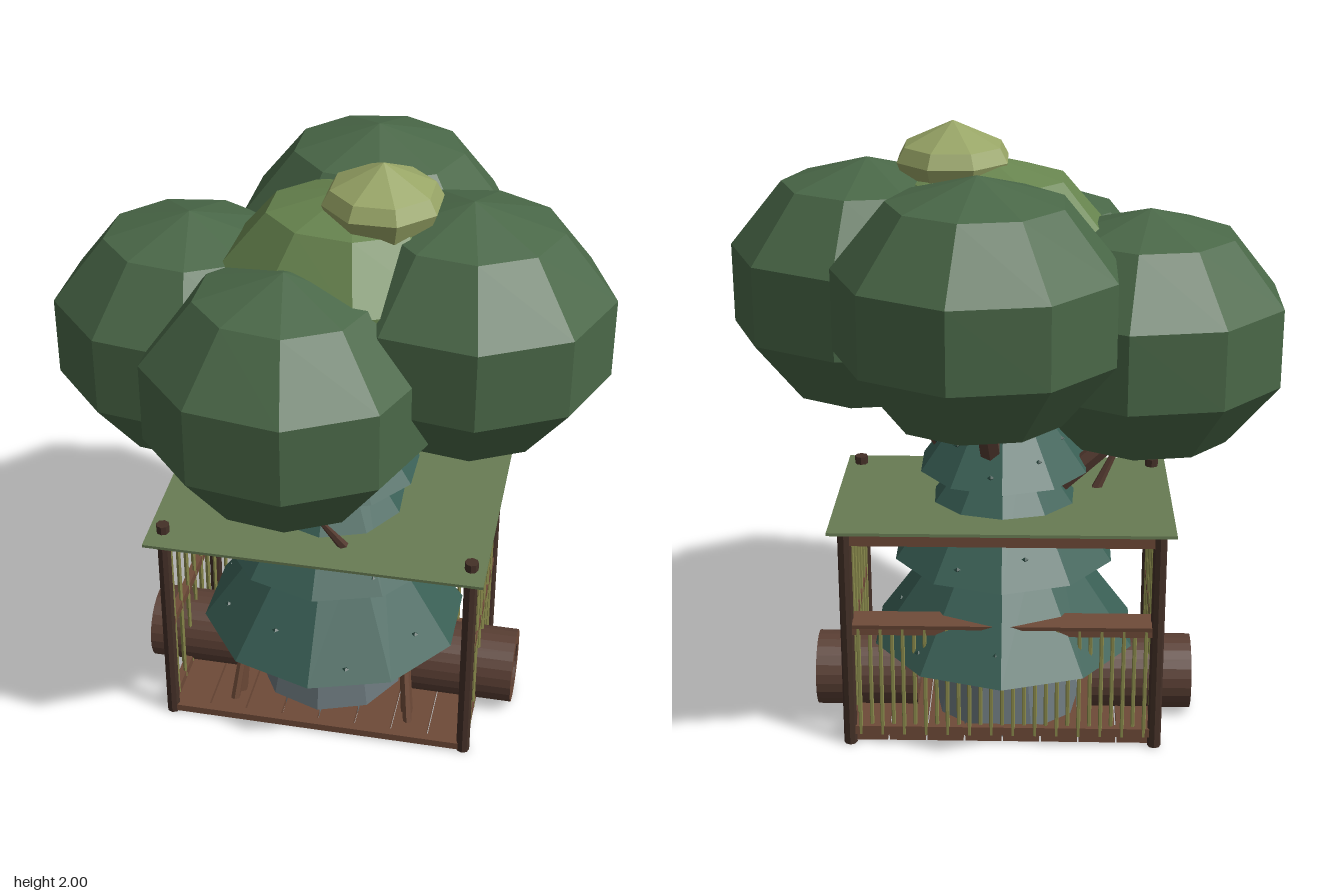
import * as THREE from 'three';

const mat = (color) => new THREE.MeshStandardMaterial({ color, flatShading: true });
const LEAF = mat(0x4a6848), LIGHT = mat(0x68854f), LIME = mat(0x98a566), FIR = mat(0x3a6056);
const ROOF = mat(0x687c54), POST = mat(0x443027), WOOD = mat(0x6e4a38), BARK = mat(0x5a3f34);
const CANE = mat(0x8a8a4c), STONE = mat(0x69757a), DARK = mat(0x2c3740), BUD = mat(0x24423a);

export function createModel() {
  const model = new THREE.Group();

  const add = (name, geometry, material, x = 0, y = 0, z = 0, parent = model) => {
    const mesh = new THREE.Mesh(geometry, material);
    mesh.name = name;
    mesh.position.set(x, y, z);
    parent.add(mesh);
    return mesh;
  };
  const box = (name, w, h, d, m, x, y, z, parent) =>
    add(name, new THREE.BoxGeometry(w, h, d), m, x, y, z, parent);
  // Round pole between two points
  const pole = (name, a, b, r0, r1, m, sides = 6) => {
    const p = new THREE.Vector3(...a), q = new THREE.Vector3(...b);
    const dir = q.clone().sub(p);
    const mesh = add(name, new THREE.CylinderGeometry(r1, r0, dir.length(), sides), m);
    mesh.position.copy(p).add(q).multiplyScalar(0.5);
    mesh.quaternion.setFromUnitVectors(new THREE.Vector3(0, 1, 0), dir.normalize());
    return mesh;
  };

  // Leaf crowns: squashed faceted balls
  const crown = (name, x, y, z, sx, sy, sz, m) => {
    const ball = add(name, new THREE.SphereGeometry(1, 9, 5), m, x, y, z);
    ball.scale.set(sx, sy, sz);
    ball.rotation.y = Math.PI;
  };
  crown('leftCrown', 0.427, 1.48, 0.06, 0.46, 0.41, 0.43, LEAF);
  crown('rightCrown', -0.455, 1.335, 0.005, 0.46, 0.41, 0.43, LEAF);
  crown('frontCrown', -0.085, 1.335, 0.333, 0.46, 0.41, 0.43, LEAF);
  crown('backCrown', 0.07, 1.52, -0.342, 0.46, 0.41, 0.43, LEAF);
  crown('middleCrown', 0.06, 1.53, 0.06, 0.44, 0.37, 0.37, LIGHT);

  // Small pale tuft on top
  const tuft = [[0, 1.68], [0.13, 1.74], [0.185, 1.88], [0.16, 1.925], [0, 2]]
    .map(([r, y]) => new THREE.Vector2(r, y));
  add('topTuft', new THREE.LatheGeometry(tuft, 8, Math.PI / 8), LIME, 0.16, 0, 0.085);

  // Fir tiers with small buds near each hem
  const tiers = [[0.29, 0.445, 0.66, 0.18], [0.59, 0.37, 0.96, 0.1], [0.89, 0.28, 1.22, 0.04]];
  for (const [y0, r0, y1, r1] of tiers) {
    const h = y1 - y0;
    add('firTier', new THREE.CylinderGeometry(r1, r0, h, 10), FIR, 0, y0 + h / 2, 0.01);
    for (let i = 0; i < 9; i++) {
      const a = i * 0.7 + y0, t = 0.13 + 0.1 * (i % 3);
      const r = (r0 + (r1 - r0) * t) * 0.97;
      const bud = add('bud', new THREE.OctahedronGeometry(0.012), BUD,
        r * Math.sin(a), y0 + h * t, 0.01 + r * Math.cos(a));
      bud.scale.y = 0.7;
    }
  }
  add('stoneBase', new THREE.CylinderGeometry(0.19, 0.255, 0.3, 9), STONE, -0.01, 0.151, 0.01);

  // Branches to the crowns and stubs above the roof
  pole('leftBranch', [0.1, 0.8, 0.03], [0.36, 1.2, 0.05], 0.035, 0.035, BARK);
  pole('rightBranch', [-0.1, 0.75, 0], [-0.4, 1.02, 0], 0.035, 0.03, BARK);
  pole('frontBranch', [-0.03, 0.86, 0.18], [-0.07, 1.05, 0.3], 0.035, 0.035, BARK);
  pole('backBranch', [0.03, 0.88, -0.08], [0.06, 1.25, -0.35], 0.035, 0.035, BARK);
  pole('rightStub', [-0.3, 0.75, 0.1], [-0.39, 0.94, 0.12], 0.018, 0.008, BARK);
  pole('frontStub', [0.085, 0.74, 0.27], [0.035, 0.905, 0.38], 0.018, 0.008, BARK);

  // Tilted roof board
  const roof = box('roof', 1.095, 0.01, 0.75, ROOF, 0, 0.765, 0.025);
  roof.rotation.x = 0.06;

  // Plank floor
  const planks = 8;
  for (let i = 0; i < planks; i++)
    box('floorPlank', 1 / planks - 0.006, 0.022, 0.58, WOOD, -0.5 + (i + 0.5) / planks, 0.015, 0.025);
  box('frontSill', 1, 0.025, 0.03, WOOD, 0, 0.018, 0.32);

  // Corner posts, side rails and side canes
  const zf = 0.32, zb = -0.27, zm = (zf + zb) / 2;
  for (const s of [-1, 1]) {
    for (const z of [zf, zb])
      add('cornerPost', new THREE.CylinderGeometry(0.022, 0.022, 0.78, 8), POST, s * 0.5, 0.39, z);
    for (const y of [0.05, 0.36, 0.715])
      box('sideRail', 0.025, 0.032, zf - zb, WOOD, s * 0.5, y, zm);
    for (let i = 0; i < 13; i++)
      add('sideCane', new THREE.CylinderGeometry(0.007, 0.007, 0.68, 5), CANE,
        s * (0.5 + (i % 2 ? 0.008 : -0.008)), 0.38, zb + (i + 1) * (zf - zb) / 14);
  }

  // Front lintel, back rails, ledge and half-height canes
  box('frontLintel', 1, 0.032, 0.025, WOOD, 0, 0.715, zf);
  box('backLintel', 1, 0.035, 0.025, WOOD, 0, 0.735, zb);
  box('backRail', 1, 0.035, 0.025, WOOD, 0, 0.42, zb);
  box('backSill', 1, 0.03, 0.025, WOOD, 0, 0.05, zb);
  const ledge = box('backLedge', 0.96, 0.014, 0.08, WOOD, 0, 0.45, zb);
  ledge.rotation.x = -0.15;
  for (let i = 0; i < 27; i++)
    add('backCane', new THREE.CylinderGeometry(0.007, 0.007, 0.4, 5), CANE,
      -0.5 + (i + 1) / 28, 0.235, zb + (i % 2 ? 0.008 : -0.008));

  // Log tunnels through both sides
  const wall = new THREE.Shape().absarc(0, 0, 0.125, 0, Math.PI * 2);
  wall.holes.push(new THREE.Path().absarc(0, 0, 0.075, 0, Math.PI * 2, true));
  const tube = new THREE.ExtrudeGeometry(wall, { depth: 0.34, bevelEnabled: false, curveSegments: 12 });
  for (const s of [-1, 1]) {
    const log = new THREE.Group();
    log.name = 'logTunnel';
    log.position.set(s * 0.29, 0.126, 0.01);
    log.rotation.y = s * Math.PI / 2;
    model.add(log);
    const shell = add('logShell', tube, [WOOD, POST], 0, 0, 0, log);
    shell.material = [WOOD, BARK];
    const plug = add('logHollow', new THREE.CylinderGeometry(0.076, 0.076, 0.3, 12), DARK, 0, 0, 0.165, log);
    plug.rotation.x = Math.PI / 2;
  }

  // Short stakes beside the stone base
  for (const s of [-1, 1]) {
    pole('stake', [s * 0.29, 0.02, 0.2], [s * 0.27, 0.28, 0.17], 0.022, 0.018, WOOD);
    pole('stakeBrace', [s * 0.3, 0.02, 0.25], [s * 0.28, 0.19, 0.2], 0.016, 0.014, WOOD);
  }
  pole('perch', [-0.3, 0.283, 0.17], [0.3, 0.275, 0.17], 0.007, 0.007, CANE);

  return model;
}
